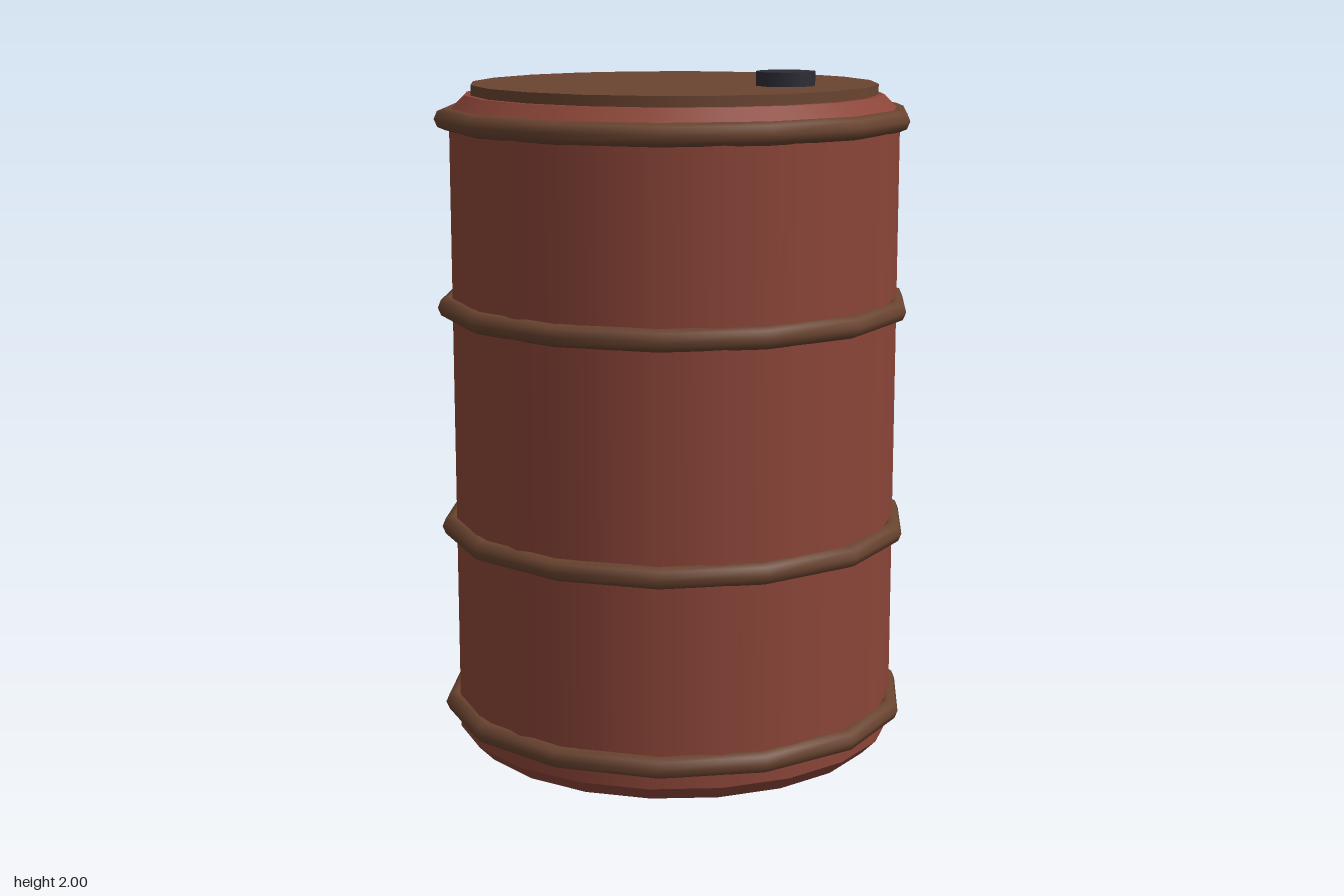
import * as THREE from 'three';

export function createModel() {
  const drum = new THREE.Group();
  drum.name = 'drum';

  const material = (name, color) => {
    const m = new THREE.MeshStandardMaterial({ color });
    m.name = name;
    return m;
  };
  const red = material('red paint', 0x8b4538);
  const brown = material('rust brown', 0x6a4430);
  const dark = material('dark cap', 0x2c2c36);

  const add = (name, geometry, mat, x, y, z) => {
    const mesh = new THREE.Mesh(geometry, mat);
    mesh.name = name;
    mesh.position.set(x, y, z);
    drum.add(mesh);
    return mesh;
  };

  // Upright cylinder between two heights
  const section = (name, rTop, rBottom, y0, y1, sides, mat, open = false, x = 0, z = 0) =>
    add(name, new THREE.CylinderGeometry(rTop, rBottom, y1 - y0, sides, 1, open), mat, x, (y0 + y1) / 2, z);

  // Shell: straight wall with a chamfer at each end
  section('wall', 0.655, 0.655, 0.045, 1.885, 20, red, true);
  section('bottomChamfer', 0.655, 0.61, 0, 0.045, 20, red);
  section('topChamfer', 0.61, 0.655, 1.885, 1.93, 20, red);

  // Lid and filler cap
  section('lid', 0.592, 0.592, 1.925, 1.96, 20, brown);
  section('fillerCap', 0.087, 0.087, 1.95, 2, 10, dark, false, 0.326, -0.113);

  // Hoops around the wall
  for (const y of [0.113, 0.66, 1.317, 1.863]) {
    const hoop = add('hoop', new THREE.TorusGeometry(0.664, 0.032, 8, 14), brown, 0, y, 0);
    hoop.rotation.x = Math.PI / 2;
  }

  return drum;
}
